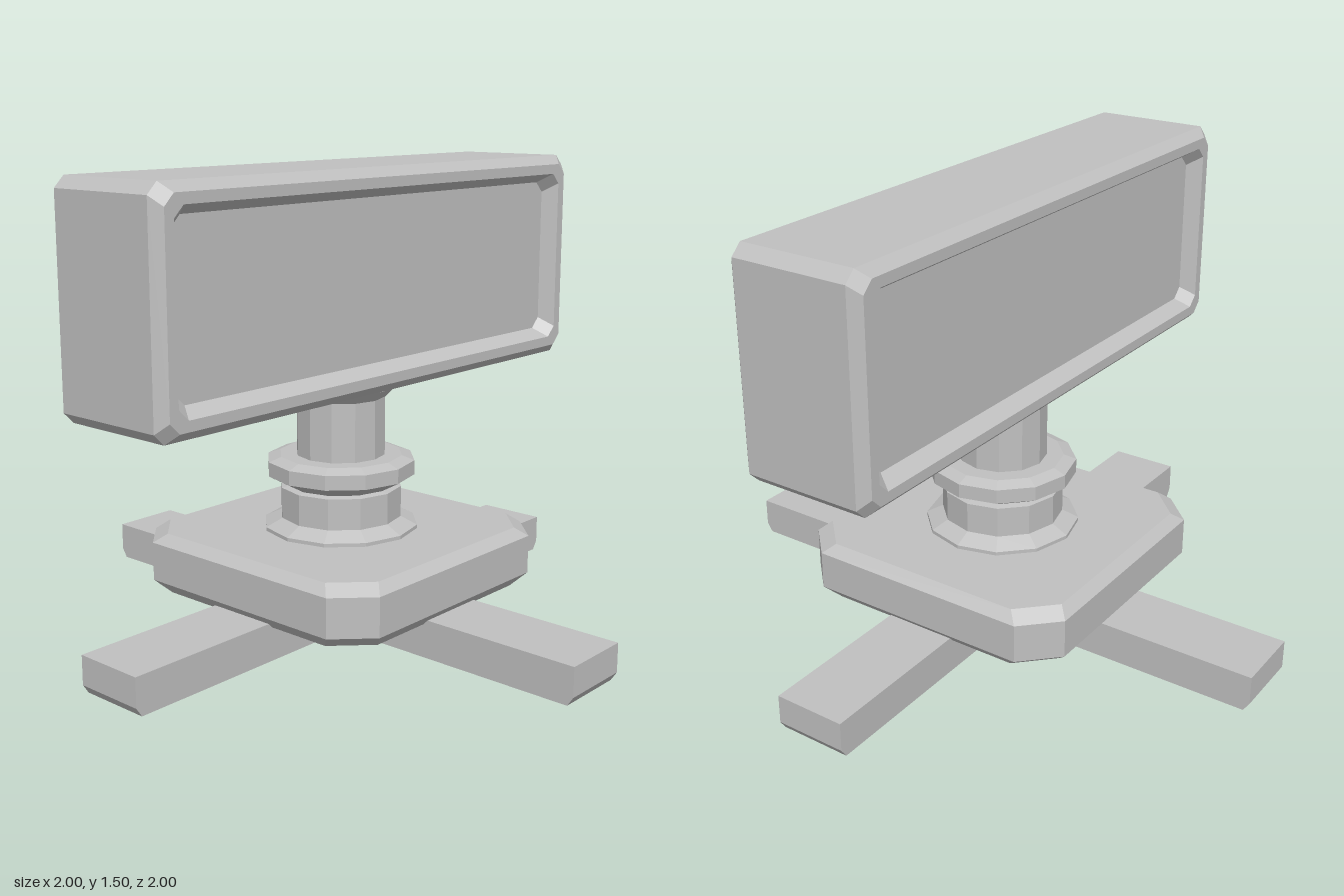
import * as THREE from 'three';

const grey = new THREE.MeshStandardMaterial({ color: 0xc0c0c0 });

// Closed solid through octagonal (corner-cut rectangle) rings, listed back to front as [inset, z]
function loftOctagons(halfW, halfH, cut, rings) {
  const corners = rings.map(([inset, z]) => {
    const w = halfW - inset, h = halfH - inset, a = w - cut, b = h - cut;
    return [[w, -b], [w, b], [a, h], [-a, h], [-w, b], [-w, -b], [-a, -h], [a, -h]].map(([x, y]) => [x, y, z]);
  });
  const pos = [];
  const tri = (a, b, c) => pos.push(...a, ...b, ...c);
  for (let r = 0; r < corners.length - 1; r++) {
    const p = corners[r], q = corners[r + 1];
    for (let i = 0; i < 8; i++) {
      const j = (i + 1) % 8;
      tri(p[i], p[j], q[j]);
      tri(p[i], q[j], q[i]);
    }
  }
  const back = corners[0], front = corners[corners.length - 1];
  for (let i = 1; i < 7; i++) {
    tri(back[0], back[i + 1], back[i]);
    tri(front[0], front[i], front[i + 1]);
  }
  const geo = new THREE.BufferGeometry();
  geo.setAttribute('position', new THREE.Float32BufferAttribute(pos, 3));
  geo.computeVertexNormals();
  return geo;
}

export function createModel() {
  const model = new THREE.Group();
  model.name = 'displayStand';
  const add = (name, geo, parent = model) => {
    const mesh = new THREE.Mesh(geo, grey);
    mesh.name = name;
    parent.add(mesh);
    return mesh;
  };

  // Head: bevelled case with a recessed panel on the front and the back
  const face = [[0, 0.195], [0.03, 0.227], [0.063, 0.227], [0.093, 0.177]];
  const mirrored = face.map(([inset, z]) => [inset, -z]).reverse();
  add('head', loftOctagons(0.97, 0.354, 0.035, [...mirrored, ...face])).position.y = 1.15;

  // Turned neck with foot flange, collar and top flare
  const profile = [
    [0, 0.3], [0.258, 0.3], [0.258, 0.325], [0.203, 0.352], [0.203, 0.455], [0.18, 0.46],
    [0.247, 0.497], [0.247, 0.545], [0.205, 0.56], [0.148, 0.56], [0.148, 0.755],
    [0.182, 0.79], [0.182, 0.82], [0, 0.82],
  ].map(([r, y]) => new THREE.Vector2(r, y));
  const neck = new THREE.LatheGeometry(profile, 12).toNonIndexed();
  neck.computeVertexNormals();
  add('neck', neck);

  // Base block with cut corners and bevelled rims
  const base = loftOctagons(0.495, 0.495, 0.112, [[0.042, 0.11], [0, 0.155], [0, 0.283], [0.035, 0.313]]);
  base.rotateX(-Math.PI / 2);
  add('base', base);

  // Cross of four feet, bevelled under each tip
  const feet = new THREE.Group();
  feet.name = 'feet';
  model.add(feet);
  const side = new THREE.Shape([[0.12, 0], [0.98, 0], [1, 0.03], [1, 0.125], [0.12, 0.125]]
    .map(([x, y]) => new THREE.Vector2(x, y)));
  const foot = new THREE.ExtrudeGeometry(side, { depth: 0.24, bevelEnabled: false });
  foot.translate(0, 0, -0.12);
  for (let i = 0; i < 4; i++) add('foot', foot, feet).rotation.y = i * Math.PI / 2;
  add('footHub', new THREE.BoxGeometry(0.24, 0.125, 0.24), feet).position.y = 0.0625;

  return model;
}
